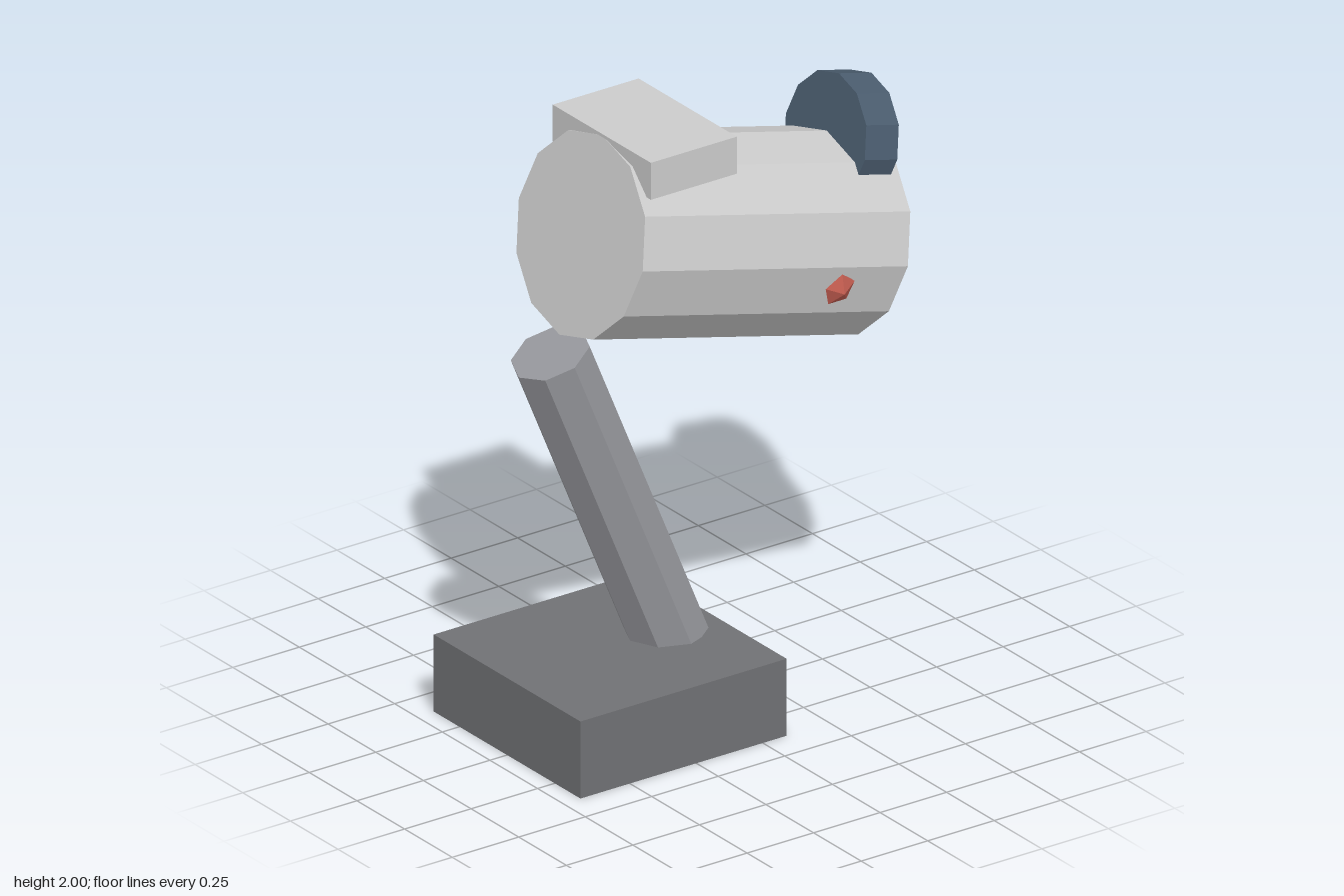
import * as THREE from 'three';

const HEAD_TILT = 0.25;

export function createModel() {
  const model = new THREE.Group();

  function add(name, geometry, color, position, rotationX = 0) {
    const material = new THREE.MeshStandardMaterial({ color, flatShading: true });
    const mesh = new THREE.Mesh(geometry, material);
    mesh.name = name;
    mesh.position.set(...position);
    mesh.rotation.x = rotationX;
    model.add(mesh);
    return mesh;
  }

  // Square foot block
  add('base', new THREE.BoxGeometry(0.77, 0.26, 0.775), 0x707174, [0, 0.13, 0.298]);

  // Octagonal post leaning forward
  add('arm', new THREE.CylinderGeometry(0.128, 0.128, 1.16, 8), 0x96979c, [0, 0.776, 0.3], 0.395);

  // Twelve-sided head, front end raised
  const alongHead = Math.PI / 2 - HEAD_TILT;
  add('head', new THREE.CylinderGeometry(0.325, 0.325, 1.029, 12), 0xcccccc, [0, 1.553, -0.09], alongHead);

  // Level block on top of the front end
  add('topBlock', new THREE.BoxGeometry(0.515, 0.125, 0.323), 0xcccccc, [0, 1.9375, 0.168]);

  // Disc half sunk into the rear of the head
  add('rearDisc', new THREE.CylinderGeometry(0.207, 0.207, 0.126, 12), 0x4a5c6e, [0, 1.744, -0.572], alongHead);

  // Five-sided button lying on the left flank facet
  const button = add('sideButton', new THREE.SphereGeometry(1, 5, 2), 0xc85f52, [0.306, 1.407, -0.345]);
  button.scale.set(0.058, 0.028, 0.058);
  button.rotation.z = -Math.PI / 2 - Math.PI / 12;

  return model;
}
